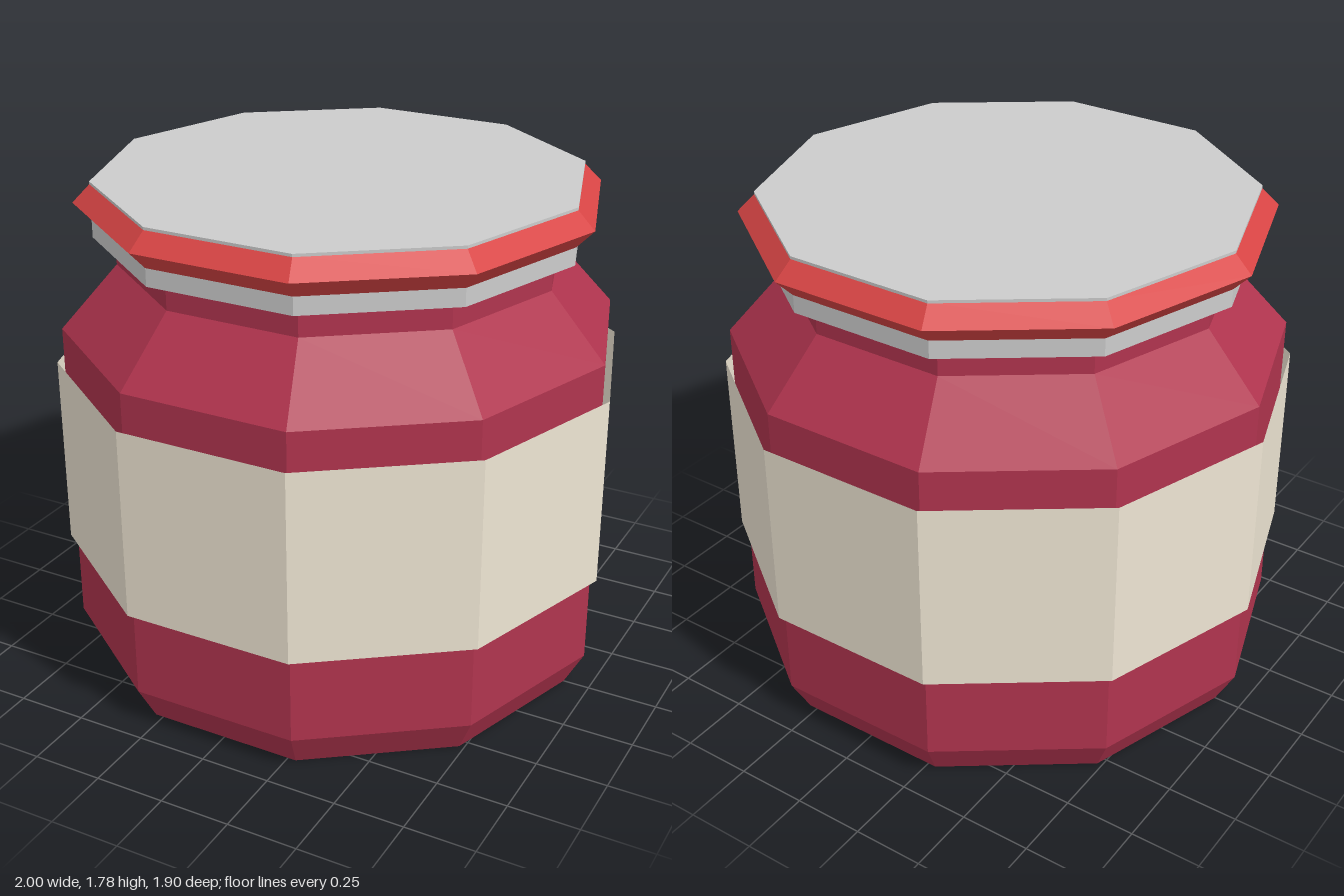
import * as THREE from 'three';

const SIDES = 10;

// Ten-sided turned part from a [radius, height] profile, corners on the x axis
function turned(name, profile, color, side = THREE.FrontSide) {
  const points = profile.map(([r, y]) => new THREE.Vector2(r, y));
  const geometry = new THREE.LatheGeometry(points, SIDES, Math.PI / 2);
  const material = new THREE.MeshStandardMaterial({ color, side, flatShading: true });
  const mesh = new THREE.Mesh(geometry, material);
  mesh.name = name;
  return mesh;
}

export function createModel() {
  const jar = new THREE.Group();
  jar.name = 'jar';

  // Filled body: chamfered foot, straight wall, sloping shoulder and neck
  jar.add(turned('jarBody', [
    [0, 0], [0.905, 0], [0.975, 0.13], [0.975, 1.255],
    [0.775, 1.48], [0.775, 1.59], [0, 1.59],
  ], 0xb0344e));

  // Paper label: an open sleeve standing just off the wall
  jar.add(turned('label', [[1, 0.445], [1, 1.13]], 0xeee5d3, THREE.DoubleSide));

  // Flat lid
  jar.add(turned('lid', [[0, 1.58], [0.85, 1.58], [0.85, 1.776], [0, 1.776]], 0xcccccc));

  // Bevelled band around the lid
  jar.add(turned('lidBand', [[0.848, 1.64], [0.91, 1.705], [0.848, 1.768]], 0xd94545, THREE.DoubleSide));

  return jar;
}
